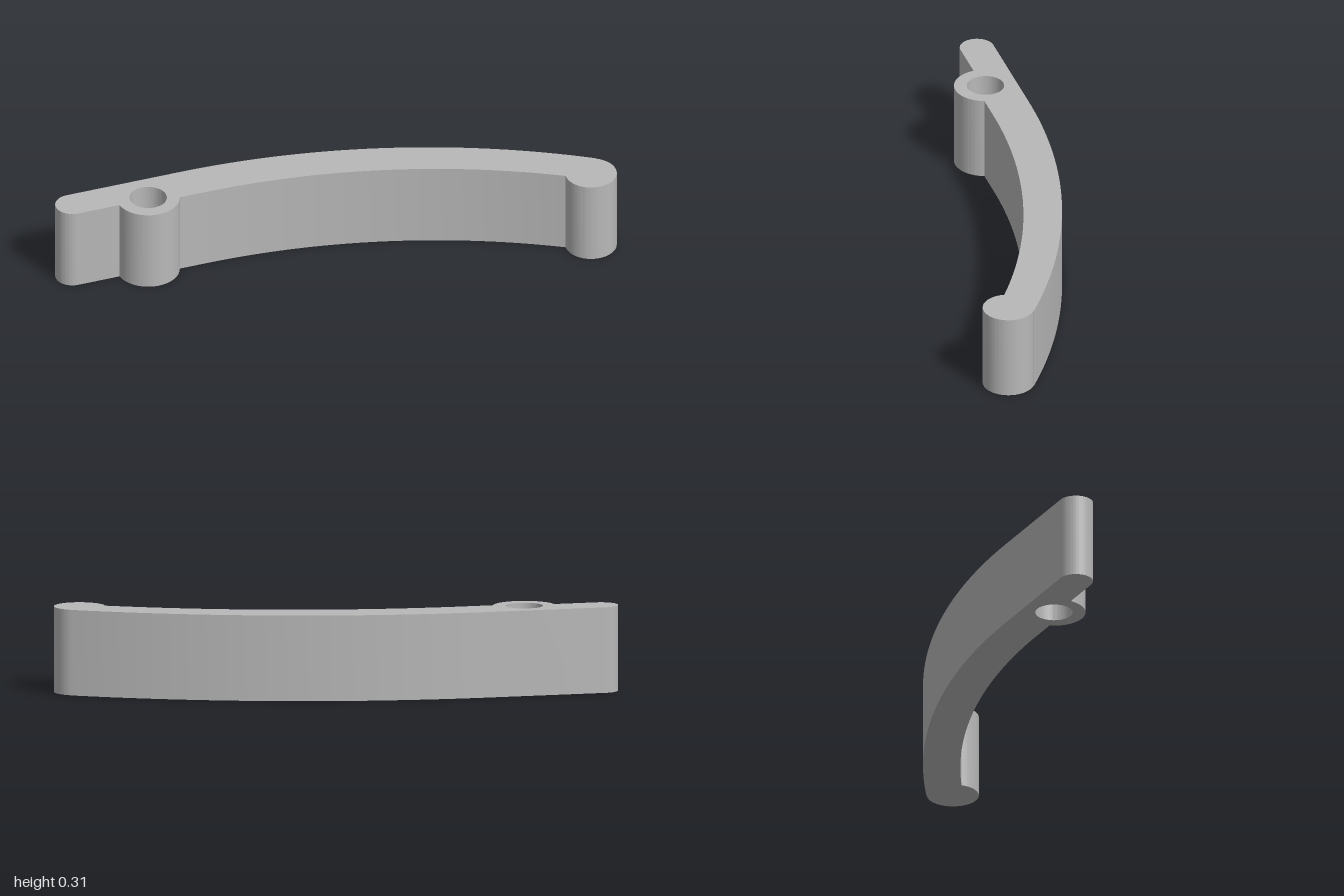
import * as THREE from 'three';
import { toCreasedNormals } from 'three/addons/utils/BufferGeometryUtils.js';

const HEIGHT = 0.315;

// Lever outline in plan; shape y is the model's -z.
function leverOutline() {
  const { PI } = Math;
  const s = new THREE.Shape();
  s.moveTo(-0.9375, 0.305);
  // straight back edge running into the long outer curve
  s.absarc(-0.5, -2.355, 2.66, PI / 2, Math.atan2(2.225, 1.458), true);
  // round knob at the far end
  s.absarc(0.906, -0.211, 0.094, Math.atan2(0.081, 0.052), -PI, true);
  // long inner curve back towards the boss
  s.absarc(-0.45, -2.302, 2.454, Math.atan2(2.104, 1.263), PI / 2, false);
  // pivot boss bulging to the front
  s.absarc(-0.663, 0.19, 0.115, -0.337, -PI + 0.087, true);
  // rounded short end
  s.absarc(-0.9375, 0.2425, 0.0625, -PI / 2, -1.5 * PI, true);

  // pivot hole
  const hole = new THREE.Path();
  hole.absarc(-0.663, 0.19, 0.068, 0, PI * 2, false);
  s.holes.push(hole);
  return s;
}

export function createModel() {
  const model = new THREE.Group();
  model.name = 'curvedLever';

  const grey = new THREE.MeshStandardMaterial({ color: 0xb8b8b8 });
  grey.name = 'lightGrey';

  const geometry = new THREE.ExtrudeGeometry(leverOutline(), {
    depth: HEIGHT, bevelEnabled: false, curveSegments: 40,
  });
  geometry.rotateX(-Math.PI / 2);

  const lever = new THREE.Mesh(toCreasedNormals(geometry, 0.5), grey);
  lever.name = 'leverBody';
  model.add(lever);
  return model;
}
